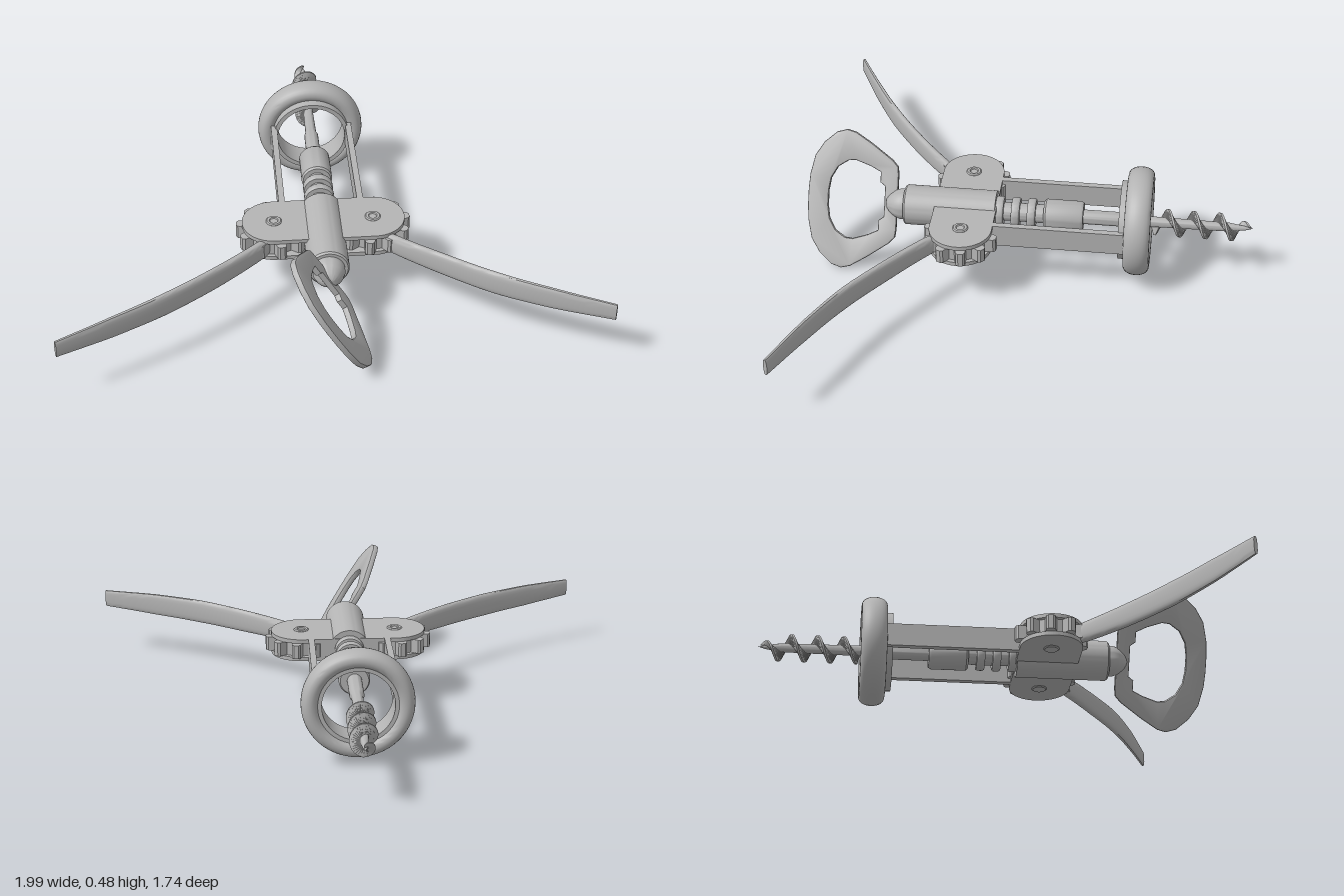
import * as THREE from 'three';
import { toCreasedNormals } from 'three/addons/utils/BufferGeometryUtils.js';

const CX = -0.01, CY = 0.243; // main axis, running along z

export function createModel() {
  const model = new THREE.Group();
  const steel = new THREE.MeshStandardMaterial({ color: 0xb4b4b4 });
  steel.name = 'steel';

  const add = (name, geometry, parent = model) => {
    const mesh = new THREE.Mesh(geometry, steel);
    mesh.name = name;
    parent.add(mesh);
    return mesh;
  };

  // Everything but the levers is built around the axis, then shifted to it
  const body = new THREE.Group();
  body.name = 'body';
  body.position.set(CX, CY, 0);
  model.add(body);

  // Turned part: profile of [radius, z] with z ascending
  const turned = (profile, segments = 40) => {
    const g = new THREE.LatheGeometry(profile.map(p => new THREE.Vector2(...p)), segments);
    return toCreasedNormals(g.rotateX(Math.PI / 2), 0.6);
  };

  // Skin over closed cross-sections that run counterclockwise about the travel direction
  const loft = (sections) => {
    const n = sections[0].length, last = (sections.length - 1) * n, index = [];
    for (let i = 0; i < sections.length - 1; i++) {
      for (let j = 0; j < n; j++) {
        const a = i * n + j, b = i * n + (j + 1) % n;
        index.push(a, b, a + n, b, b + n, a + n);
      }
    }
    for (let j = 1; j < n - 1; j++) index.push(0, j + 1, j, last, last + j, last + j + 1);
    const g = new THREE.BufferGeometry().setFromPoints(sections.flat());
    g.setIndex(index);
    return toCreasedNormals(g, 0.7);
  };

  // Flat part lying in the xz plane, centred on height y
  const flat = (shape, y, thickness) =>
    new THREE.ExtrudeGeometry(shape, { depth: thickness, bevelEnabled: false, curveSegments: 20 })
      .rotateX(Math.PI / 2).translate(0, y + thickness / 2, 0);

  // Rounded grip ring and its collar
  const ringProfile = [];
  for (let i = 0; i <= 24; i++) {
    const a = (i / 24) * Math.PI * 2 - Math.PI / 2;
    const c = Math.cos(a), s = Math.sin(a);
    ringProfile.push([0.176 + 0.035 * Math.sign(c) * Math.abs(c) ** 0.85, -0.43 + 0.05 * s]);
  }
  add('bellRing', turned(ringProfile, 56), body);
  add('ringCollar', turned([[0.135, -0.465], [0.152, -0.465], [0.152, -0.358], [0.135, -0.358], [0.135, -0.465]], 48), body);

  // Spindle: rack rings, grip sleeve, thin shaft and pointed core
  const spindle = [[0, -0.87], [0.008, -0.84], [0.017, -0.78], [0.02, -0.5], [0.022, -0.38],
    [0.028, -0.36], [0.028, -0.215], [0.054, -0.215], [0.06, -0.205], [0.06, -0.07], [0.054, -0.062], [0.036, -0.062]];
  for (const z of [-0.03, 0.032, 0.095]) {
    spindle.push([0.036, z], [0.054, z], [0.058, z + 0.006], [0.058, z + 0.026], [0.054, z + 0.032], [0.036, z + 0.032]);
  }
  spindle.push([0.036, 0.2], [0, 0.2]);
  add('spindle', turned(spindle), body);

  // Spiral blade around the core, from tip to base
  const blade = [];
  for (let i = 0; i <= 128; i++) {
    const z = -0.858 + 0.365 * i / 128;
    const a = Math.PI / 2 + (z + 0.55) / 0.1 * Math.PI * 2;
    const grow = Math.min(1, 0.25 + i / 28);
    const at = (dz, r) => new THREE.Vector3(Math.cos(a) * r, Math.sin(a) * r, z + dz);
    blade.push([at(0.017 * grow, 0.008), at(0.004, 0.053 * grow), at(-0.004, 0.053 * grow), at(-0.017 * grow, 0.008)]);
  }
  add('wormBlade', loft(blade), body);

  // Barrel and domed cap
  add('barrel', turned([[0, 0.125], [0.078, 0.125], [0.078, 0.478], [0.072, 0.485], [0, 0.485]], 48), body);
  add('barrelCap', turned([[0.06, 0.48], [0.06, 0.505], [0.052, 0.525], [0.034, 0.548], [0.018, 0.56], [0, 0.562]]), body);

  // Rounded plates above and below the gears
  const plate = new THREE.Shape();
  plate.absarc(0.187, 0.24, 0.12, -Math.PI / 2, Math.PI / 2, false);
  plate.absarc(-0.187, 0.24, 0.12, Math.PI / 2, Math.PI * 1.5, false);
  for (const s of [-1, 1]) add(s > 0 ? 'topPlate' : 'bottomPlate', flat(plate, s * 0.037, 0.016), body);

  // Toothed lever head
  const gear = new THREE.Shape();
  const teeth = 10;
  for (let i = 0; i < teeth; i++) {
    [[-0.34, 0.106], [-0.2, 0.136], [-0.1, 0.143], [0.1, 0.143], [0.2, 0.136], [0.34, 0.106]].forEach(([t, r], k) => {
      const a = (i + t) / teeth * Math.PI * 2 + 64 * Math.PI / 180;
      const x = Math.cos(a) * r, y = Math.sin(a) * r;
      if (i + k === 0) gear.moveTo(x, y); else gear.lineTo(x, y);
    });
  }

  // Lever arm centre lines in x and z, one for each side
  const paths = {
    left: [[0.2, 0.31], [0.25, 0.36], [0.41, 0.485], [0.59, 0.61], [0.78, 0.71], [0.994, 0.805]],
    right: [[-0.215, 0.315], [-0.265, 0.365], [-0.42, 0.495], [-0.61, 0.63], [-0.8, 0.74], [-0.994, 0.84]],
  };
  const halfWidth = [0.03, 0.04, 0.046, 0.048, 0.045, 0.035];
  const halfThick = [0.018, 0.018, 0.015, 0.014, 0.011, 0.008];
  const up = new THREE.Vector3(0, 1, 0);

  for (const side of ['left', 'right']) {
    const s = side === 'left' ? 1 : -1;

    // Frame bar with a short web joining it to the plates
    add(side + 'FrameBar', new THREE.BoxGeometry(0.024, 0.09, 0.54).translate(s * 0.15, 0, -0.11), body);
    add(side + 'FrameWeb', new THREE.BoxGeometry(0.1, 0.088, 0.016).translate(s * 0.11, 0, 0.13), body);

    // Gear and pivot pin
    const head = add(side + 'Gear', flat(gear, 0, 0.056), body);
    head.position.set(s * 0.187, 0, 0.24);
    if (s < 0) head.rotation.z = Math.PI;
    const pin = [[0, -0.05], [0.026, -0.05], [0.03, -0.046], [0.03, 0.046], [0.026, 0.05],
      [0.017, 0.05], [0.014, 0.046], [0, 0.046]];
    add(side + 'PivotPin', turned(pin, 24).rotateX(-Math.PI / 2).translate(s * 0.187, 0, 0.24), body);

    // Curved lever arm with an oval section
    const curve = new THREE.CatmullRomCurve3(paths[side].map(([x, z]) => new THREE.Vector3(x, CY, z)));
    const sections = [];
    for (let i = 0; i <= 40; i++) {
      const t = i / 40, f = t * 5, k = Math.min(4, Math.floor(f));
      const w = THREE.MathUtils.lerp(halfWidth[k], halfWidth[k + 1], f - k);
      const h = THREE.MathUtils.lerp(halfThick[k], halfThick[k + 1], f - k);
      const centre = curve.getPoint(t);
      const across = up.clone().cross(curve.getTangent(t)).normalize();
      const loop = [];
      for (let j = 0; j < 20; j++) {
        const a = j / 20 * Math.PI * 2, c = Math.cos(a), y = Math.sin(a);
        loop.push(centre.clone().addScaledVector(across, h * Math.sign(c) * Math.abs(c) ** 0.7)
          .addScaledVector(up, w * Math.sign(y) * Math.abs(y) ** 0.7));
      }
      sections.push(loop);
    }
    add(side + 'Lever', loft(sections));
  }

  // Flat opener handle, outlined as [half width, z] and mirrored
  const outline = half => {
    const all = [...half, ...half.slice().reverse().map(([u, z]) => [-u, z])];
    return all.map(p => new THREE.Vector2(...p));
  };
  const handle = new THREE.Shape(outline([[0.11, 0.518], [0.14, 0.522], [0.165, 0.545], [0.225, 0.63], [0.265, 0.695],
    [0.274, 0.73], [0.262, 0.77], [0.22, 0.818], [0.165, 0.853], [0.09, 0.87], [0.03, 0.874]]));
  handle.holes.push(new THREE.Path(outline([[0.06, 0.57], [0.075, 0.59], [0.115, 0.59], [0.135, 0.63],
    [0.155, 0.69], [0.152, 0.72], [0.125, 0.76], [0.08, 0.785], [0.03, 0.793]])));
  const handleGeometry = new THREE.ExtrudeGeometry(handle, {
    depth: 0.012, bevelEnabled: true, bevelThickness: 0.006, bevelSize: 0.006, bevelOffset: -0.006, bevelSegments: 2,
  }).translate(0, 0, -0.006);
  const along = new THREE.Vector3(-0.508, 0.861, 0).normalize();
  const axis = new THREE.Vector3(0, 0, 1);
  handleGeometry.applyMatrix4(new THREE.Matrix4().makeBasis(along, axis, along.clone().cross(axis)));
  add('openerHandle', toCreasedNormals(handleGeometry, 0.6), body).position.x = -0.008;

  return model;
}
